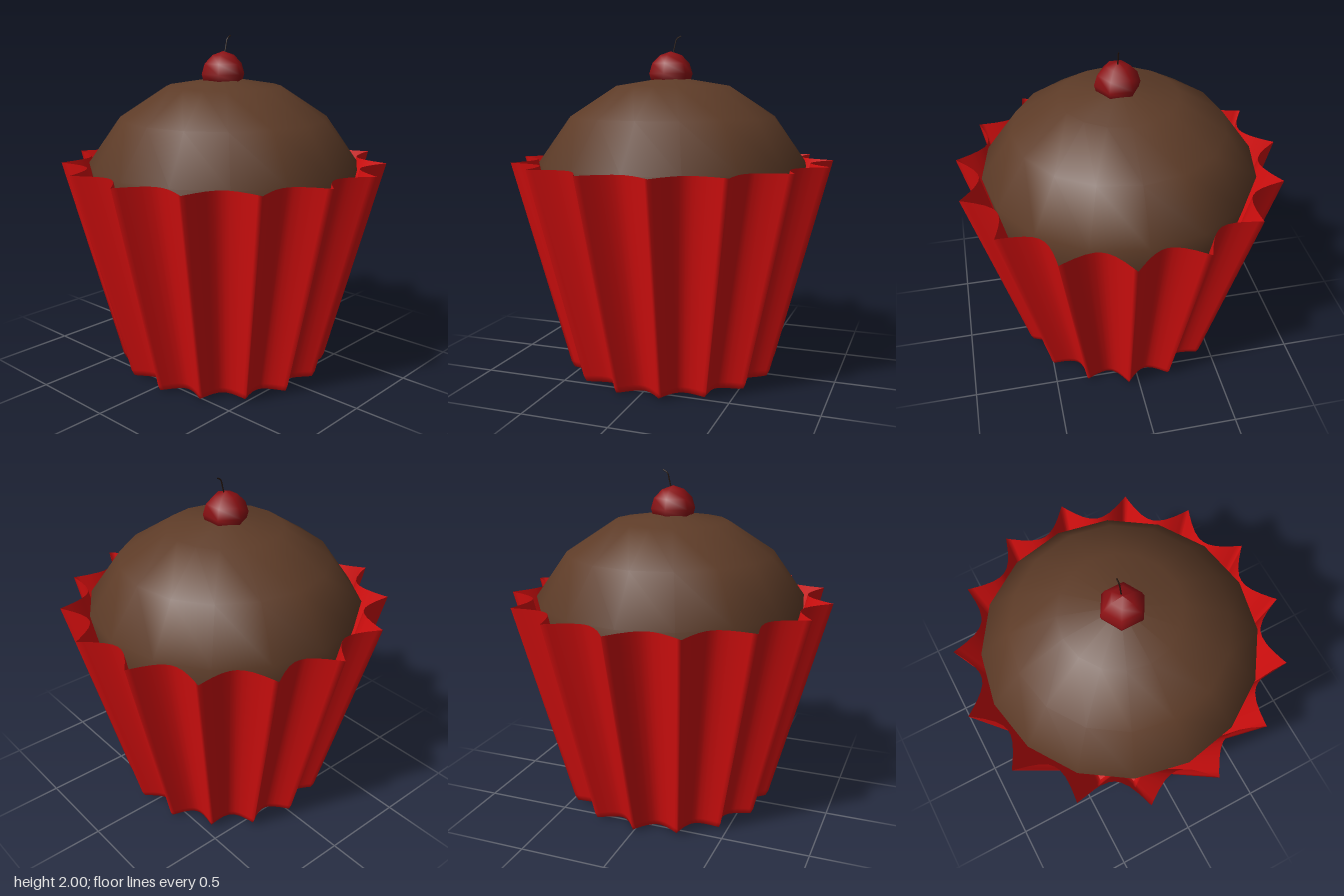
import * as THREE from 'three';

const TEETH = 15;
const STEPS = [0, 0.1, 0.3, 0.55, 0.8]; // samples from a pleat tip to the next valley

// Closed pleated outline as [x, z] pairs, starting with a tip at the back
function pleatOutline(tip, valley) {
  const offsets = [...STEPS, 1, ...STEPS.slice(1).reverse().map((t) => 2 - t)];
  const out = [];
  for (let i = 0; i < TEETH; i++) {
    for (const o of offsets) {
      const t = o > 1 ? 2 - o : o;
      const r = valley + (tip - valley) * (1 - t) ** 2;
      const a = ((i + o / 2) / TEETH) * Math.PI * 2;
      out.push([Math.sin(a) * r, -Math.cos(a) * r]);
    }
  }
  return out;
}

// Skin between pleated outlines, listed from the top down
function pleatedWall(rows) {
  const pos = [], index = [];
  let n = 0;
  for (const [y, tip, valley] of rows) {
    const ring = pleatOutline(tip, valley);
    n = ring.length;
    for (const [x, z] of ring) pos.push(x, y, z);
  }
  for (let i = 0; i < rows.length - 1; i++) {
    for (let j = 0; j < n; j++) {
      const a = i * n + j, b = i * n + ((j + 1) % n);
      index.push(a, b, a + n, b, b + n, a + n);
    }
  }
  const g = new THREE.BufferGeometry();
  g.setAttribute('position', new THREE.Float32BufferAttribute(pos, 3));
  g.setIndex(index);
  g.computeVertexNormals();
  return g;
}

function lathe(profile, sides) {
  return new THREE.LatheGeometry(profile.map(([r, y]) => new THREE.Vector2(r, y)), sides);
}

export function createModel() {
  const group = new THREE.Group();
  const material = (name, color, side = THREE.FrontSide) => {
    const m = new THREE.MeshStandardMaterial({ color, side });
    m.name = name;
    return m;
  };
  const paper = material('red paper', 0xd60f0f, THREE.DoubleSide);
  const cake = material('chocolate', 0x5e3c28);
  const fruit = material('cherry red', 0x8a1013);
  const twig = material('dark stem', 0x24140c);

  const add = (name, geometry, mat) => {
    const mesh = new THREE.Mesh(geometry, mat);
    mesh.name = name;
    group.add(mesh);
    return mesh;
  };

  // Pleated paper cup with a rolled lower edge and a flat base
  add('wrapper', pleatedWall([
    [1.27, 0.957, 0.814],
    [0.05, 0.63, 0.53],
    [0.014, 0.612, 0.518],
    [0.0, 0.57, 0.49],
  ]), paper);
  const base = new THREE.ShapeGeometry(
    new THREE.Shape(pleatOutline(0.57, 0.49).map(([x, z]) => new THREE.Vector2(x, z))));
  base.rotateX(Math.PI / 2);
  add('wrapperBase', base, paper);

  // Sixteen-sided cake dome, running down inside the cup
  add('cakeDome', lathe([
    [0.745, 1.0], [0.8, 1.26], [0.61, 1.53], [0.335, 1.71], [0, 1.765],
  ], 16), cake);

  // Six-sided cherry
  add('cherry', lathe([
    [0, 1.69], [0.075, 1.7], [0.118, 1.735], [0.13, 1.78], [0.112, 1.84], [0.065, 1.888], [0, 1.91],
  ], 6), fruit).position.set(-0.012, 0, 0.006);

  // Thin curved stem
  const path = new THREE.CatmullRomCurve3([
    new THREE.Vector3(0, 1.89, 0.006),
    new THREE.Vector3(0.012, 1.94, 0.006),
    new THREE.Vector3(0.024, 1.98, 0.006),
    new THREE.Vector3(0.052, 1.997, 0.006),
  ]);
  add('stem', new THREE.TubeGeometry(path, 10, 0.004, 5), twig);

  return group;
}
